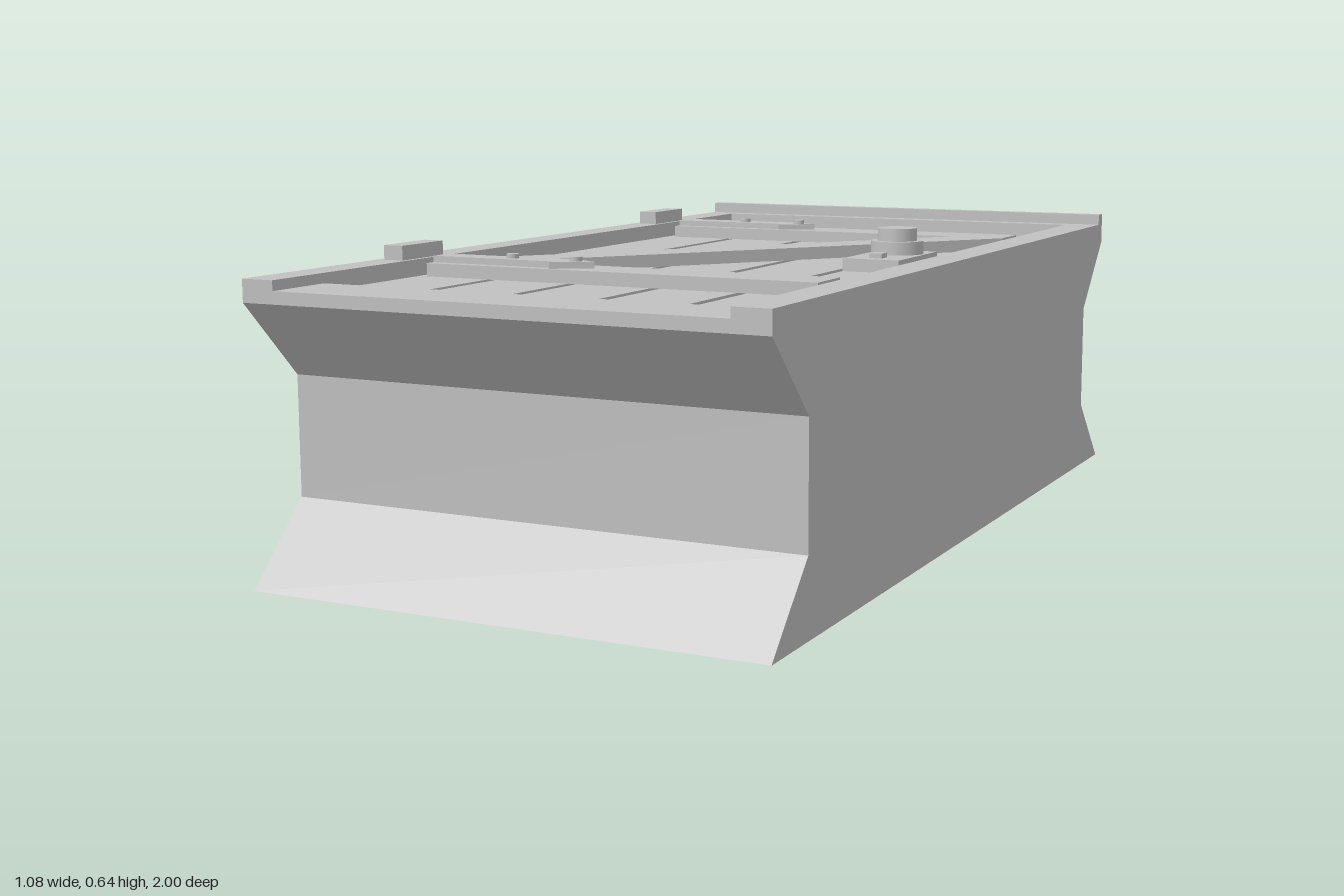
import * as THREE from 'three';

export function createModel() {
  const model = new THREE.Group();
  model.name = 'trapdoorBlock';
  const grey = new THREE.MeshStandardMaterial({ color: 0xc0c0c0 });
  grey.name = 'plain grey';

  const add = (name, geometry) => {
    const mesh = new THREE.Mesh(geometry, grey);
    mesh.name = name;
    model.add(mesh);
    return mesh;
  };
  // Box given by its limits on each axis
  const box = (name, x0, x1, y0, y1, z0, z1) =>
    add(name, new THREE.BoxGeometry(x1 - x0, y1 - y0, z1 - z0))
      .position.set((x0 + x1) / 2, (y0 + y1) / 2, (z0 + z1) / 2);
  // Flat plate from an [x, z] outline, raised from y0 to y1
  const plate = (name, points, y0, y1) => {
    const shape = new THREE.Shape(points.map(([x, z]) => new THREE.Vector2(x, -z)));
    const g = new THREE.ExtrudeGeometry(shape, { depth: y1 - y0, bevelEnabled: false });
    g.rotateX(-Math.PI / 2);
    add(name, g).position.y = y0;
  };
  const disc = (name, r, y0, y1, x, z, sides = 32) =>
    add(name, new THREE.CylinderGeometry(r, r, y1 - y0, sides))
      .position.set(x, (y0 + y1) / 2, z);

  // Base block, waisted at the front and back
  const half = [[1, 0], [0.85, 0.153], [0.85, 0.395], [1, 0.55]];
  const outline = [...half, ...half.map(([z, y]) => [-z, y]).reverse()];
  const body = new THREE.ExtrudeGeometry(
    new THREE.Shape(outline.map(([z, y]) => new THREE.Vector2(z, y))),
    { depth: 1.08, bevelEnabled: false });
  body.translate(0, 0, -0.54).rotateY(-Math.PI / 2);
  add('base', body);

  // Frame around the door
  box('leftRail', 0.465, 0.54, 0.55, 0.595, -0.97, 1);
  box('rightRail', -0.54, -0.47, 0.55, 0.595, -0.97, 1);
  box('backRail', -0.47, 0.465, 0.55, 0.595, -0.97, -0.93);
  box('backLip', -0.54, 0.54, 0.55, 0.62, -1, -0.97);
  box('frontSill', -0.47, 0.465, 0.55, 0.575, 0.848, 1);

  // Door planks with narrow gaps
  for (let i = 0; i < 5; i++) {
    const x = -0.455 + i * 0.185;
    box('plank', x, x + 0.165, 0.55, 0.563, -0.915, 0.848);
  }

  // Z-shaped brace
  box('backBar', -0.435, 0.43, 0.563, 0.59, -0.635, -0.53);
  box('frontBar', -0.435, 0.43, 0.563, 0.59, 0.455, 0.56);
  plate('diagonalBrace',
    [[-0.435, 0.455], [-0.31, 0.455], [0.43, -0.53], [0.305, -0.53]], 0.563, 0.59);

  // Hinges, arrow straps and rivets
  for (const z of [-0.582, 0.508]) {
    box('hinge', -0.525, -0.48, 0.595, 0.625, z - 0.072, z + 0.072);
    plate('hingeStrap', [
      [-0.435, z + 0.028], [-0.15, z + 0.028], [-0.15, z + 0.045], [-0.073, z],
      [-0.15, z - 0.045], [-0.15, z - 0.028], [-0.435, z - 0.028],
    ], 0.59, 0.603);
    for (const x of [-0.262, -0.115]) disc('rivet', 0.013, 0.603, 0.612, x, z, 16);
  }

  // Lock plate, knob and keyhole cover
  box('lockPlate', 0.285, 0.41, 0.563, 0.59, -0.135, 0.095);
  disc('knobBase', 0.056, 0.59, 0.618, 0.347, -0.06);
  disc('knob', 0.042, 0.618, 0.645, 0.347, -0.06);
  plate('keyholeCover', [
    [0.333, 0.068], [0.361, 0.068], [0.361, 0.037], [0.347, 0.022], [0.333, 0.037],
  ], 0.59, 0.6);

  return model;
}
